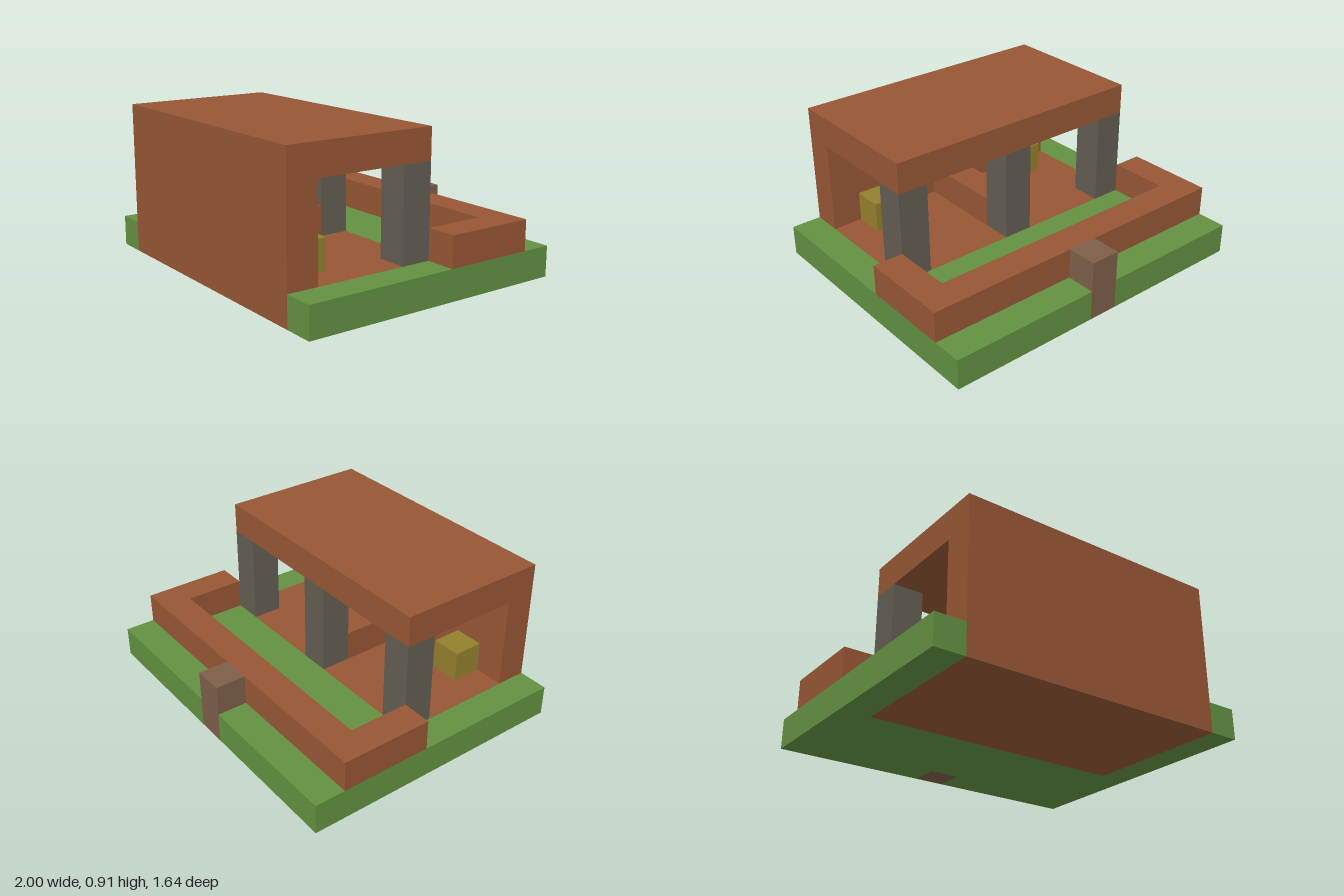
import * as THREE from 'three';

// Everything is laid out on an 11 x 5 x 9 block grid, then scaled to size.
const UNIT = 2 / 11;

const material = (name, color) => {
  const m = new THREE.MeshStandardMaterial({ color });
  m.name = name;
  return m;
};

const outline = (points) => new THREE.Shape(points.map(([a, b]) => new THREE.Vector2(a, b)));

// Horizontal slab from an (x, z) outline, rising from y by height
function slab(points, y, height) {
  const shape = outline(points.map(([x, z]) => [x, -z]));
  return new THREE.ExtrudeGeometry(shape, { depth: height, bevelEnabled: false })
    .rotateX(-Math.PI / 2)
    .translate(0, y, 0);
}

// Box given by its lowest corner and its size
function block(x, y, z, w, h, d) {
  return new THREE.BoxGeometry(w, h, d).translate(x + w / 2, y + h / 2, z + d / 2);
}

export function createModel() {
  const grass = material('grass green', 0x629041);
  const brick = material('brick brown', 0x965635);
  const stone = material('stone grey', 0x635d52);
  const gold = material('ochre yellow', 0x93802d);
  const post = material('dull brown', 0x7d5e49);

  const grid = new THREE.Group();
  grid.name = 'shelter';
  const add = (name, geometry, mat) => {
    const mesh = new THREE.Mesh(geometry, mat);
    mesh.name = name;
    grid.add(mesh);
  };

  // Lawn, notched for the rear post and wrapped round the floor
  add('lawn', slab([
    [0, 0], [5, 0], [5, 1], [6, 1], [6, 0], [11, 0],
    [11, 9], [10, 9], [10, 4], [1, 4], [1, 9], [0, 9],
  ], 0, 1), grass);

  // Floor, front wall and roof as one C-shaped section run along x
  const section = outline([[4, 0], [9, 0], [9, 5], [4, 5], [4, 4], [8, 4], [8, 1], [4, 1]]);
  add('floorWallAndRoof',
    new THREE.ExtrudeGeometry(section, { depth: 9, bevelEnabled: false })
      .rotateY(-Math.PI / 2)
      .translate(10, 0, 0), brick);

  // Low U-shaped wall round the back yard
  add('lowWall', slab([
    [0, 1], [11, 1], [11, 4], [10, 4], [10, 2], [1, 2], [1, 4], [0, 4],
  ], 1, 1), brick);

  // Divider between the middle pillar and the front wall
  add('divider', block(5, 1, 5, 1, 1, 3), brick);

  // Pillars holding the open edge of the roof
  for (const x of [1, 5, 9]) add('pillar', block(x, 1, 4, 1, 3, 1), stone);

  // Seats against the wall
  for (const x of [2, 8]) add('seat', block(x, 1, 7, 1, 1, 1), gold);

  // Post at the middle of the back edge
  add('rearPost', block(5, 0, 0, 1, 2, 1), post);

  grid.scale.setScalar(UNIT);
  grid.position.set(-5.5 * UNIT, 0, -4.5 * UNIT);

  const model = new THREE.Group();
  model.name = 'model';
  model.add(grid);
  return model;
}
